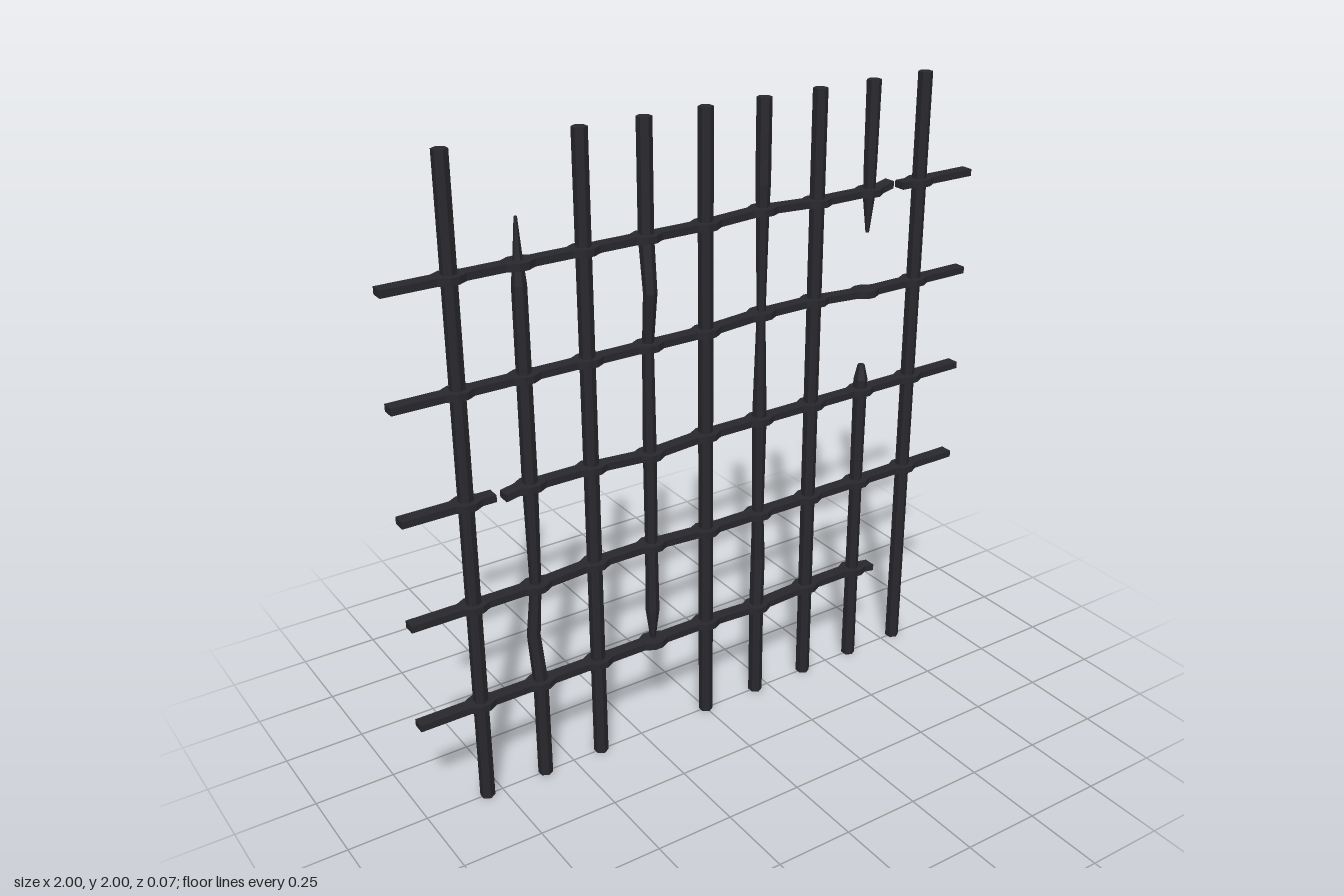
import * as THREE from 'three';

const material = new THREE.MeshStandardMaterial({ color: 0x28282d, flatShading: true, roughness: 0.8 });

// Skin a list of closed rings (counter-clockwise seen from the far end) and cap both ends.
function loft(rings) {
  const pos = [], n = rings[0].length;
  const tri = (a, b, c) => pos.push(...a, ...b, ...c);
  for (let i = 0; i < rings.length - 1; i++) {
    for (let j = 0; j < n; j++) {
      const k = (j + 1) % n, p = rings[i], q = rings[i + 1];
      tri(p[j], p[k], q[k]);
      tri(p[j], q[k], q[j]);
    }
  }
  const first = rings[0], last = rings[rings.length - 1];
  for (let j = 1; j < n - 1; j++) {
    tri(first[0], first[j + 1], first[j]);
    tri(last[0], last[j], last[j + 1]);
  }
  const g = new THREE.BufferGeometry();
  g.setAttribute('position', new THREE.Float32BufferAttribute(pos, 3));
  g.computeVertexNormals();
  return g;
}

// Hexagonal upright; each station is [y, thickness, dx, dz].
function upright(x, stations) {
  const R = 0.0228;
  return loft(stations.map(([y, s = 1, dx = 0, dz = 0]) => Array.from({ length: 6 }, (_, i) => {
    const a = i * Math.PI / 3;
    return [x + dx + Math.sin(a) * R * s, y, dz + Math.cos(a) * R * s];
  })));
}

// Piecewise linear height along a crossbar.
function heightAt(path, x) {
  for (let i = 0; i < path.length - 1; i++) {
    const [x0, y0] = path[i], [x1, y1] = path[i + 1];
    if (x <= x1) return y0 + (y1 - y0) * Math.max(0, (x - x0) / (x1 - x0));
  }
  return path[path.length - 1][1];
}

// Flat crossbar that swells in depth around every upright; path is [x, dy] points.
function crossbar(y, path) {
  const start = path[0][0], end = path[path.length - 1][0], h = 0.011;
  const stations = path.map(([x]) => [x, 0.02]);
  for (let i = -4; i <= 4; i++) {
    for (const [d, z] of [[-0.042, 0.02], [-0.014, 0.036], [0.014, 0.036], [0.042, 0.02]]) {
      const x = i * 0.2 + d;
      if (x > start && x < end) stations.push([x, z]);
    }
  }
  // Drop path points that fall inside a swelling, its own stations carry the height there
  const clean = stations.filter(([x, z], i) => i >= path.length || x === start || x === end
    || Math.abs(x - Math.round(x / 0.2) * 0.2) > 0.043);
  clean.sort((a, b) => a[0] - b[0]);
  return loft(clean.map(([x, z]) => {
    const c = y + heightAt(path, x);
    return [[x, c - h, -z], [x, c + h, -z], [x, c + h, z], [x, c - h, z]];
  }));
}

export function createModel() {
  const model = new THREE.Group();
  model.name = 'brokenGrate';
  const add = (name, geometry) => {
    const mesh = new THREE.Mesh(geometry, material);
    mesh.name = name;
    model.add(mesh);
  };

  // Intact uprights
  for (const x of [-0.8, -0.4, 0, 0.4, 0.8]) add('upright', upright(x, [[0], [2]]));

  // Bent, corroded and snapped uprights
  add('snappedUprightRight', upright(-0.6, [
    [0], [0.335], [0.5, 0.9, -0.011, -0.008], [0.67, 0.75], [1], [1.6, 0.95], [1.69, 0.55], [1.79, 0.2]]));
  add('hangingUpright', upright(-0.2, [
    [0.35, 0.4], [0.45, 0.95], [0.67, 0.85], [1, 0.9], [1.335, 0.75], [1.5, 0.9, 0, 0.017], [1.66], [2]]));
  add('bentUpright', upright(0.2, [
    [0], [0.335], [0.5, 1, 0.01, -0.01], [0.67, 0.8], [1], [1.335, 0.6], [1.66, 0.85], [1.75], [2]]));
  add('brokenUprightTop', upright(0.6, [[1.53, 0.25], [1.64, 0.8], [1.75, 0.9], [2]]));
  add('brokenUprightBottom', upright(0.6, [[0], [0.67, 0.9], [1.04], [1.09, 0.5]]));

  // Crossbars, sagging and with missing pieces
  add('crossbar', crossbar(0.335, [
    [-1, 0], [0, 0], [0.2, -0.01], [0.4, 0], [0.6, 0], [0.68, -0.012]]));
  add('crossbar', crossbar(0.67, [
    [-1, 0], [-0.6, 0], [-0.4, 0.012], [-0.2, 0.012], [0, 0], [1, 0]]));
  add('crossbarStub', crossbar(1, [[-1, 0], [-0.715, 0]]));
  add('crossbar', crossbar(1, [
    [-0.685, -0.01], [-0.63, 0], [-0.4, 0], [-0.2, -0.013], [0, 0], [1, 0]]));
  add('crossbar', crossbar(1.335, [
    [-1, 0], [0, 0], [0.2, 0.013], [0.4, 0.013], [0.6, 0], [1, 0]]));
  add('crossbar', crossbar(1.66, [
    [-1, 0], [0, 0], [0.2, 0.01], [0.4, 0], [0.63, 0], [0.68, 0.012]]));
  add('crossbarStub', crossbar(1.66, [[0.72, 0], [1, 0]]));
  return model;
}
